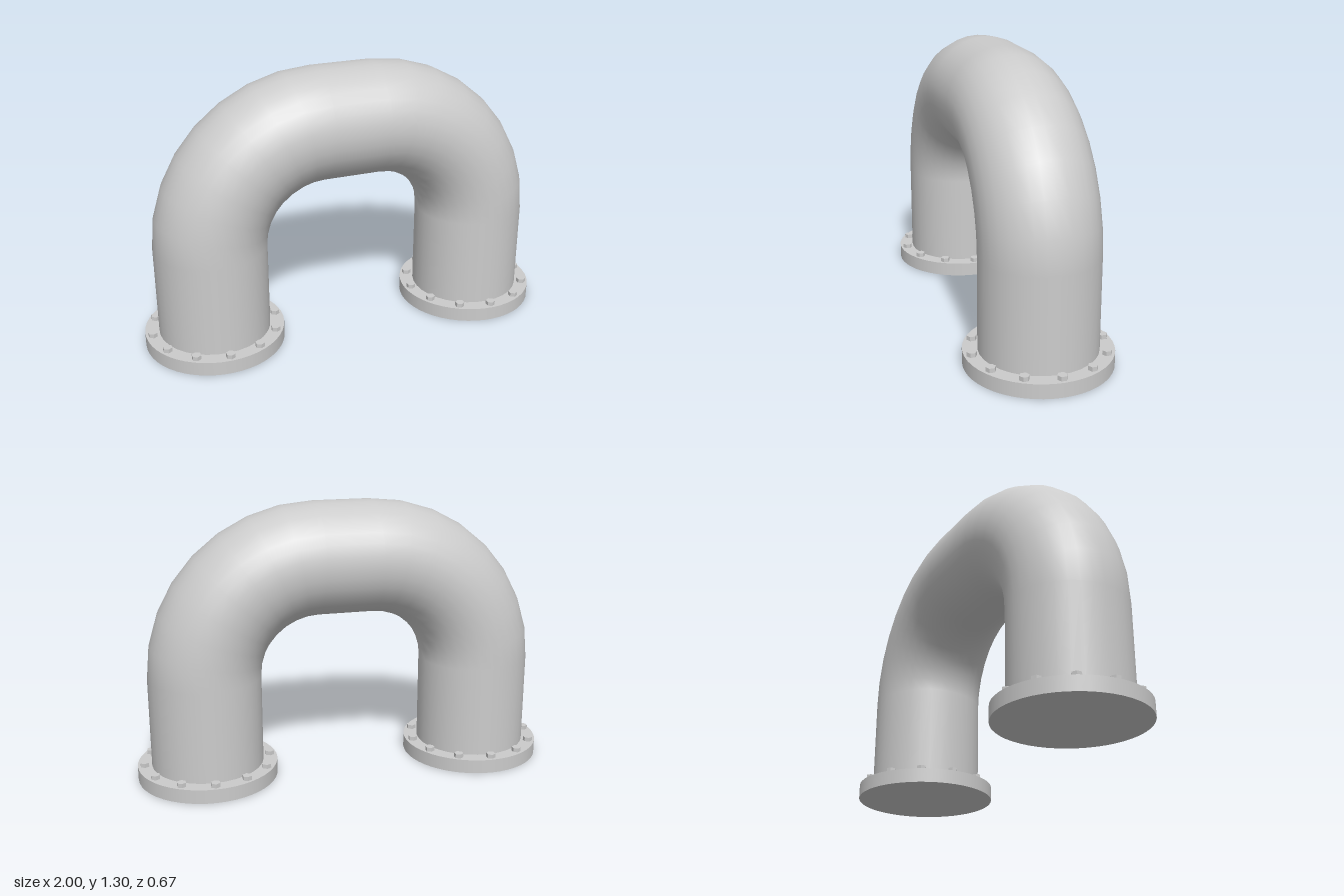
import * as THREE from 'three';

const material = new THREE.MeshStandardMaterial({ color: 0xcccccc });

const LEG_X = 0.667;      // centre of each leg
const PIPE_R = 0.266;
const BEND_R = 0.533;     // centreline radius of the elbows
const BEND_Y = 0.5;       // height where the elbows begin
const FLANGE_R = 0.333;
const FLANGE_H = 0.067;
const BOLTS = 12;
const SIDES = 32;

function add(parent, name, geometry, x = 0, y = 0, z = 0) {
  const mesh = new THREE.Mesh(geometry, material);
  mesh.name = name;
  mesh.position.set(x, y, z);
  parent.add(mesh);
  return mesh;
}

// Straight leg, bolted flange and quarter elbow, standing on x = 0
function createLeg(name) {
  const leg = new THREE.Group();
  leg.name = name;

  add(leg, 'flange', new THREE.CylinderGeometry(FLANGE_R, FLANGE_R, FLANGE_H, 48), 0, FLANGE_H / 2);

  const legH = BEND_Y - FLANGE_H;
  add(leg, 'straightPipe', new THREE.CylinderGeometry(PIPE_R, PIPE_R, legH, SIDES, 1, true), 0, FLANGE_H + legH / 2);

  add(leg, 'elbow', new THREE.TorusGeometry(BEND_R, PIPE_R, SIDES, 8, Math.PI / 2), -BEND_R, BEND_Y);

  // Ring of hexagonal bolt heads
  const boltGeometry = new THREE.CylinderGeometry(0.0225, 0.0225, 0.03, 6).toNonIndexed();
  boltGeometry.computeVertexNormals();
  for (let i = 0; i < BOLTS; i++) {
    const a = (i / BOLTS) * Math.PI * 2;
    add(leg, 'bolt', boltGeometry, Math.cos(a) * 0.3, FLANGE_H + 0.005, Math.sin(a) * 0.3);
  }
  return leg;
}

export function createModel() {
  const model = new THREE.Group();
  model.name = 'pipeArch';

  const left = createLeg('leftLeg');
  left.position.x = LEG_X;
  const right = createLeg('rightLeg');
  right.position.x = -LEG_X;
  right.rotation.y = Math.PI;
  model.add(left, right);

  // Short level pipe joining the elbows
  const span = 2 * (LEG_X - BEND_R);
  const bridge = add(model, 'crossPipe', new THREE.CylinderGeometry(PIPE_R, PIPE_R, span, SIDES, 1, true), 0, BEND_Y + BEND_R);
  bridge.rotation.z = Math.PI / 2;

  return model;
}
